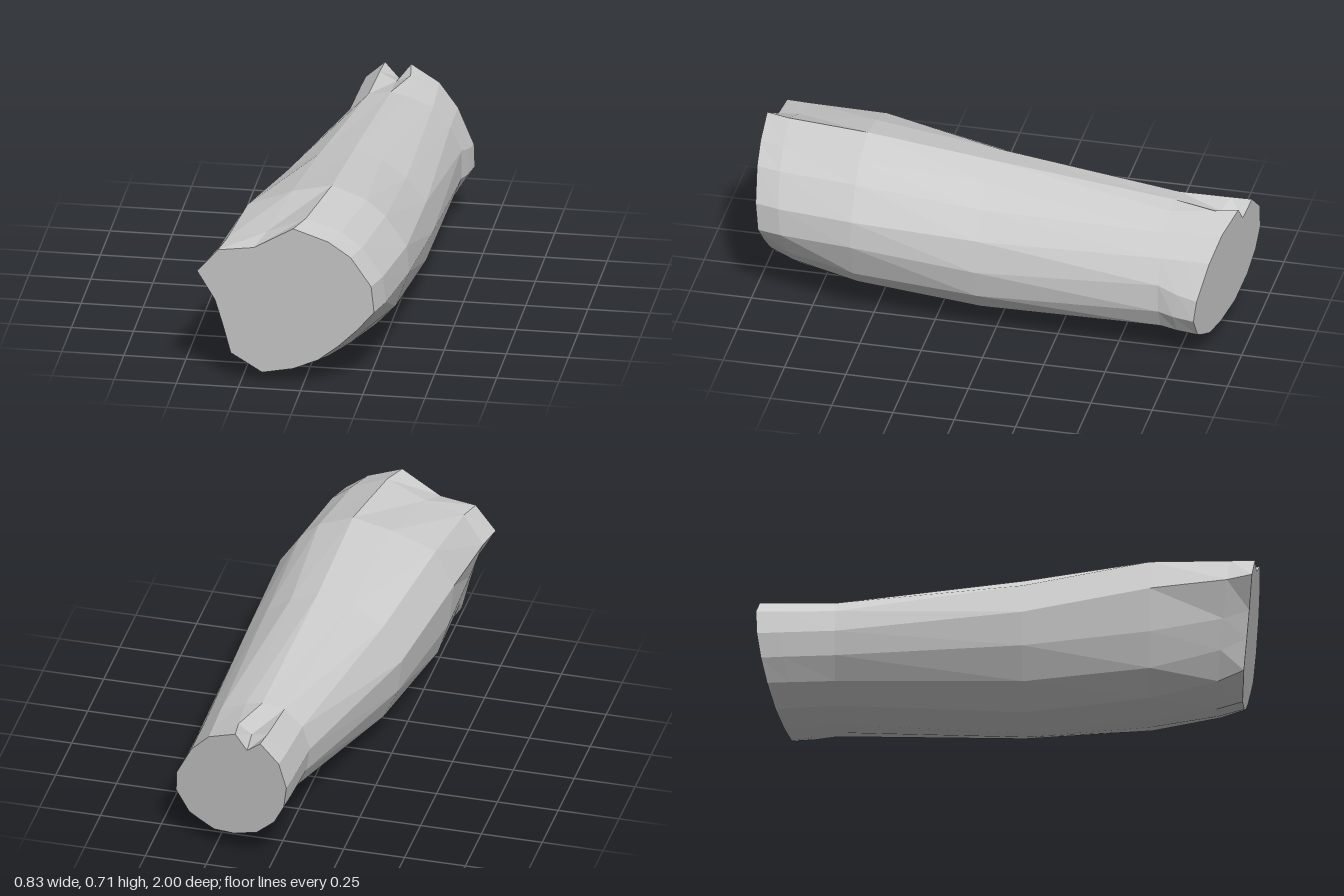
import * as THREE from 'three';

// Cross-sections as [x, y], clockwise from the top, seen from the front
const frontEnd = [[-.03, .70], [.11, .65], [.2, .585], [.28, .46], [.29, .345], [.22, .26], [.14, .18], [.06, .115],
  [-.04, .07], [-.165, .045], [-.29, .125], [-.32, .25], [-.35, .36], [-.42, .485], [-.335, .585], [-.19, .605]];
const swell = [[.06, .715], [.2, .66], [.275, .595], [.36, .47], [.37, .36], [.315, .21], [.24, .13], [.13, .06],
  [.02, .025], [-.075, .012], [-.2, .05], [-.29, .14], [-.335, .28], [-.355, .46], [-.28, .61], [-.1, .68]];
const middle = [[.07, .66], [.18, .62], [.28, .55], [.36, .45], [.385, .32], [.36, .2], [.27, .1], [.16, .045],
  [.08, .015], [.02, .003], [-.1, .04], [-.2, .13], [-.26, .26], [-.275, .4], [-.2, .55], [-.07, .63]];
const neck = [[.1, .595], [.17, .58], [.27, .54], [.34, .46], [.385, .36], [.385, .24], [.34, .15], [.28, .12],
  [.22, .11], [.15, .115], [.05, .15], [-.03, .22], [-.08, .31], [-.095, .41], [-.065, .51], [.01, .58]];
const backEnd = [[.09, .54], [.14, .605], [.26, .55], [.34, .46], [.41, .32], [.415, .23], [.36, .14], [.31, .115],
  [.25, .09], [.16, .1], [.06, .14], [-.02, .22], [-.065, .31], [-.08, .41], [-.05, .52], [.03, .595]];

// Blend of two sections
const mix = (a, b, t) => a.map(([x, y], i) => [x + (b[i][0] - x) * t, y + (b[i][1] - y) * t]);

// Tilted planes of the two cut ends
const frontZ = (x, y) => 0.93 + 0.1 * y;
const backZ = (x, y) => -0.93 + 0.28 * x - 0.117 * y;

const place = (section, zAt) => section.map(([x, y]) => new THREE.Vector3(x, y, zAt(x, y)));

// Flat-shaded mesh from a list of triangle corners
function facetMesh(name, corners) {
  const geometry = new THREE.BufferGeometry().setFromPoints(corners);
  geometry.computeVertexNormals();
  const mesh = new THREE.Mesh(geometry, new THREE.MeshStandardMaterial({ color: 0xcccccc, flatShading: true }));
  mesh.name = name;
  return mesh;
}

// Fan of triangles from a centre point to a ring
function fan(name, ring, centre, facesFront) {
  const corners = [];
  ring.forEach((a, i) => {
    const b = ring[(i + 1) % ring.length];
    corners.push(centre, ...(facesFront ? [b, a] : [a, b]));
  });
  return facetMesh(name, corners);
}

export function createModel() {
  const group = new THREE.Group();
  group.name = 'log';

  const rings = [
    place(frontEnd, frontZ),
    place(mix(frontEnd, swell, 0.4), (x, y) => frontZ(x, y) - 0.1),
    place(swell, () => 0.57),
    place(middle, () => 0.06),
    place(neck, () => -0.69),
    place(mix(neck, backEnd, 0.6), (x, y) => backZ(x, y) + 0.09),
    place(backEnd, backZ),
  ];

  // Faceted trunk between neighbouring rings
  const corners = [];
  for (let r = 0; r < rings.length - 1; r++) {
    const near = rings[r], far = rings[r + 1];
    near.forEach((a, i) => {
      const j = (i + 1) % near.length;
      corners.push(a, near[j], far[j], a, far[j], far[i]);
    });
  }
  group.add(facetMesh('trunk', corners));

  // Cut faces
  group.add(fan('frontCut', rings[0], new THREE.Vector3(-0.075, 0.4, frontZ(-0.075, 0.4)), true));
  group.add(fan('backCut', rings[rings.length - 1], new THREE.Vector3(0.17, 0.34, backZ(0.17, 0.34)), false));
  return group;
}
